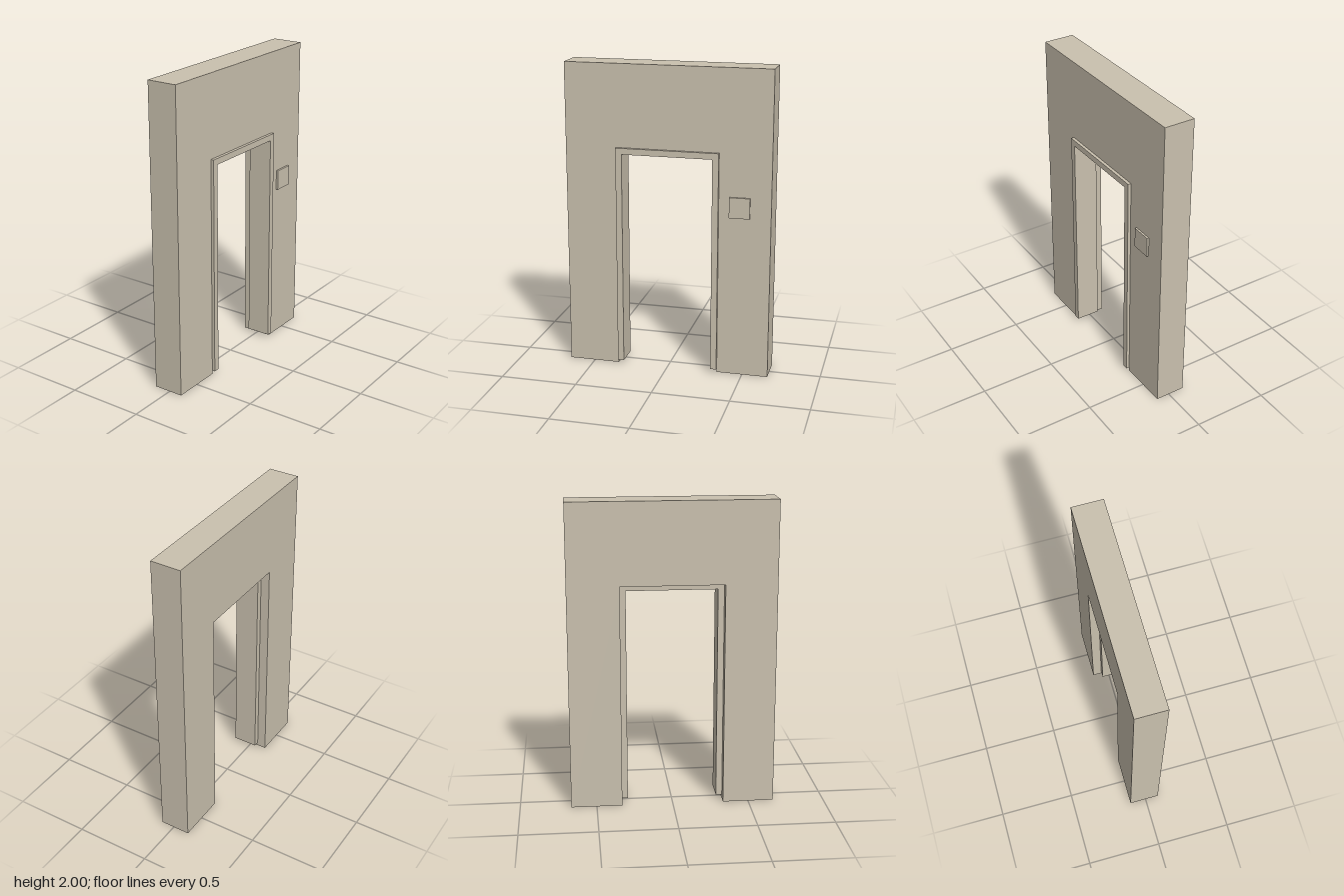
import * as THREE from 'three';

// Upside-down U outline, extruded from zBack to zFront
function portal(name, outerX, innerX, bottom, innerTop, top, zBack, zFront, material) {
  const shape = new THREE.Shape([
    [-outerX, bottom], [-innerX, bottom], [-innerX, innerTop], [innerX, innerTop],
    [innerX, bottom], [outerX, bottom], [outerX, top], [-outerX, top],
  ].map(([x, y]) => new THREE.Vector2(x, y)));
  const geometry = new THREE.ExtrudeGeometry(shape, { depth: zFront - zBack, bevelEnabled: false });
  geometry.translate(0, 0, zBack);
  const mesh = new THREE.Mesh(geometry, material);
  mesh.name = name;
  return mesh;
}

export function createModel() {
  const model = new THREE.Group();
  model.name = 'doorway';
  const plaster = new THREE.MeshStandardMaterial({ color: 0xc9c0ae });
  plaster.name = 'beige plaster';

  // Thick wall with the door opening
  model.add(portal('wall', 0.667, 0.333, 0, 1.467, 2, -0.11, 0.09, plaster));

  // Frame lining the opening, proud of the front and recessed from the back
  model.add(portal('doorFrame', 0.333, 0.293, 0.025, 1.427, 1.467, -0.05, 0.11, plaster));

  // Control panel beside the door
  const panel = new THREE.Mesh(new THREE.BoxGeometry(0.133, 0.133, 0.014), plaster);
  panel.name = 'controlPanel';
  panel.position.set(0.467, 1.123, 0.096);
  model.add(panel);

  return model;
}
